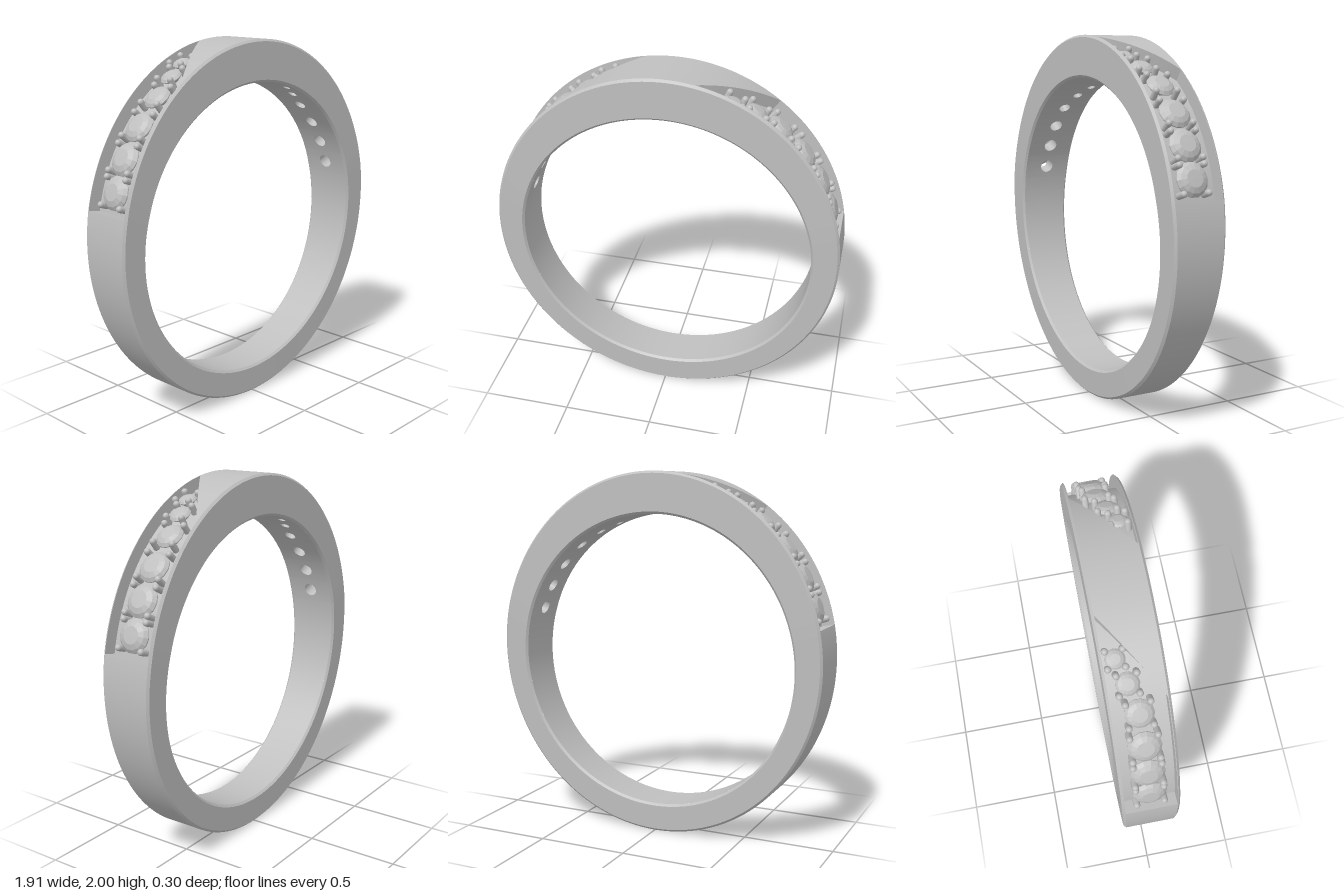
import * as THREE from 'three';
import { toCreasedNormals } from 'three/addons/utils/BufferGeometryUtils.js';

const A = 0.955, CY = 1, B = 1;          // outer ellipse
const RI = 0.807, IY = 0.967;            // inner bore
const BEVEL = 0.012, DEPTH = 0.07, CH = 0.135; // edge bevel, channel depth and half width
const T0 = Math.asin(0.2);               // lower end of the channel
const XC = 0.16, SLOPE = 0.69;           // diagonal upper end of the channel

const outer = (t, d, z) => new THREE.Vector3((A + d) * Math.cos(t), CY + (B + d) * Math.sin(t), z);
const inner = (t, d, z) => new THREE.Vector3((RI + d) * Math.cos(t), IY + (RI + d) * Math.sin(t), z);
const halfWidth = (p) => 0.119 + 0.031 * Math.min(1, Math.max(0, p.y) / 1.2);

// Skin rows of points, leaving out empty triangles
function skin(rows, crease = 0.5) {
  const pos = [], ab = new THREE.Vector3(), ac = new THREE.Vector3();
  const tri = (a, b, c) => {
    ab.subVectors(b, a); ac.subVectors(c, a);
    if (ab.cross(ac).length() > 1e-9) pos.push(...a.toArray(), ...b.toArray(), ...c.toArray());
  };
  for (let i = 0; i + 1 < rows.length; i++) {
    for (let j = 0; j + 1 < rows[i].length; j++) {
      const a = rows[i][j], b = rows[i + 1][j], c = rows[i + 1][j + 1], d = rows[i][j + 1];
      tri(a, b, c);
      tri(a, c, d);
    }
  }
  const g = new THREE.BufferGeometry();
  g.setAttribute('position', new THREE.Float32BufferAttribute(pos, 3));
  return toCreasedNormals(g, crease);
}

const range = (a, b, n) => Array.from({ length: n + 1 }, (_, i) => a + (b - a) * i / n);

// Channel limits in z at an angle; they collapse to a line on the plain crown
function channel(t) {
  const x = A * Math.cos(t);
  if (Math.abs(x) < XC) return [CH * x / XC, CH * x / XC];
  const zd = THREE.MathUtils.clamp(CH - (Math.abs(x) - XC) * SLOPE, -CH, CH);
  return x > 0 ? [zd, CH] : [-CH, -zd];
}

// Cross-section of the band without its bore face
function section(t, open) {
  const wo = halfWidth(outer(t, 0, 0)), wi = halfWidth(inner(t, 0, 0));
  const [z0, z1] = open ? channel(t) : [BEVEL - wo, wo - BEVEL];
  const d = open ? -DEPTH : 0;
  return [
    inner(t, 0, BEVEL - wi), inner(t, BEVEL, -wi),
    outer(t, -BEVEL, -wo), outer(t, 0, BEVEL - wo),
    outer(t, 0, z0), outer(t, d, z0), outer(t, d, z1), outer(t, 0, z1),
    outer(t, 0, wo - BEVEL), outer(t, -BEVEL, wo),
    inner(t, BEVEL, wi), inner(t, 0, wi - BEVEL),
  ];
}

function boreRow(t) {
  const w = halfWidth(inner(t, 0, 0)) - BEVEL;
  return [inner(t, 0, w), inner(t, 0, -w)];
}

// Stones of one channel, from the lowest up: angle, z, radius
const STONES = [
  [0.317, 0, 0.088], [0.497, 0, 0.088], [0.684, 0, 0.085],
  [0.88, 0.004, 0.074], [1.045, 0.036, 0.059], [1.18, 0.075, 0.05],
];
const cellEdges = STONES.map(([t], i) => i ? (t + STONES[i - 1][0]) / 2 : t - 0.09);
cellEdges.push(STONES[5][0] + 0.07);

// Bore patch with a round hole under a stone
function holeCell(i) {
  const [t, z, r] = STONES[i], hole = r * 0.44;
  const edge = [], rim = [], mid = [], top = [];
  for (let k = 0; k <= 40; k++) {
    const c = Math.cos(-k * Math.PI / 20), s = Math.sin(-k * Math.PI / 20);
    const f = 1 / Math.max(Math.abs(c), Math.abs(s));
    const ht = c * hole / RI, hz = s * hole;
    const et = c * f * (c > 0 ? cellEdges[i + 1] - t : t - cellEdges[i]);
    const w = halfWidth(inner(t + et, 0, 0)) - BEVEL;
    const ez = s * f * (s > 0 ? w - z : w + z);
    top.push(inner(t + ht, 0.08, z + hz));
    rim.push(inner(t + ht, 0, z + hz));
    mid.push(inner(t + (ht + et) / 2, 0, z + (hz + ez) / 2));
    edge.push(inner(t + et, 0, z + ez));
  }
  return skin([top, rim, mid, edge]);
}

export function createModel() {
  const metal = new THREE.MeshStandardMaterial({ color: 0xbfbfbf });
  metal.name = 'silverGrey';
  const model = new THREE.Group();
  model.name = 'ring';
  const add = (parent, geometry, name) => {
    const m = new THREE.Mesh(geometry, metal);
    m.name = name;
    parent.add(m);
    return m;
  };

  // Band with both channels cut in
  const tc = Math.acos(XC / A), td = Math.acos((XC + 2 * CH / SLOPE) / A), PI = Math.PI;
  const rows = [
    ...range(-PI / 2, T0, 60).map((t) => section(t, false)),
    ...range(T0, td, 28).map((t) => section(t, true)),
    ...range(td, tc, 24).map((t) => section(t, true)),
    ...range(tc, PI - tc, 12).map((t) => section(t, true)),
    ...range(PI - tc, PI - td, 24).map((t) => section(t, true)),
    ...range(PI - td, PI - T0, 28).map((t) => section(t, true)),
    ...range(PI - T0, 1.5 * PI, 60).map((t) => section(t, false)),
  ];
  add(model, skin(rows), 'band');

  // Plain stretches of the bore
  const ta = cellEdges[0], tb = cellEdges[6];
  add(model, skin(range(tb, PI - tb, 32).map(boreRow)), 'boreTop');
  add(model, skin(range(PI - ta, 2 * PI + ta, 120).map(boreRow)), 'boreBottom');

  // Faceted stone and round-ended prong
  const profile = [[0, -0.075], [0.088, 0], [0.088, 0.006], [0.072, 0.022], [0.045, 0.034], [0, 0.035]];
  const stoneGeo = new THREE.LatheGeometry(profile.map(([x, y]) => new THREE.Vector2(x, y)), 14).toNonIndexed();
  stoneGeo.computeVertexNormals();
  const prongGeo = new THREE.CapsuleGeometry(0.017, 0.045, 5, 12);

  // One row of set stones with its holes, turned half round for the other side
  for (const [name, turn] of [['leftStoneRow', 0], ['rightStoneRow', PI]]) {
    const side = new THREE.Group();
    side.name = name;
    side.rotation.y = turn;
    STONES.forEach(([t, z, r], i) => {
      add(side, holeCell(i), 'boreHole');
      const setting = new THREE.Group();
      setting.name = 'stoneSetting';
      setting.position.copy(outer(t, -0.045, z));
      setting.rotation.z = t - PI / 2;
      add(setting, stoneGeo, 'stone').scale.setScalar(r / 0.088);
      const q = 0.76 * r + 0.004;
      for (const sx of [-1, 1]) {
        for (const sz of [-1, 1]) add(setting, prongGeo, 'prong').position.set(sx * q, 0, sz * q);
      }
      side.add(setting);
    });
    model.add(side);
  }
  return model;
}
